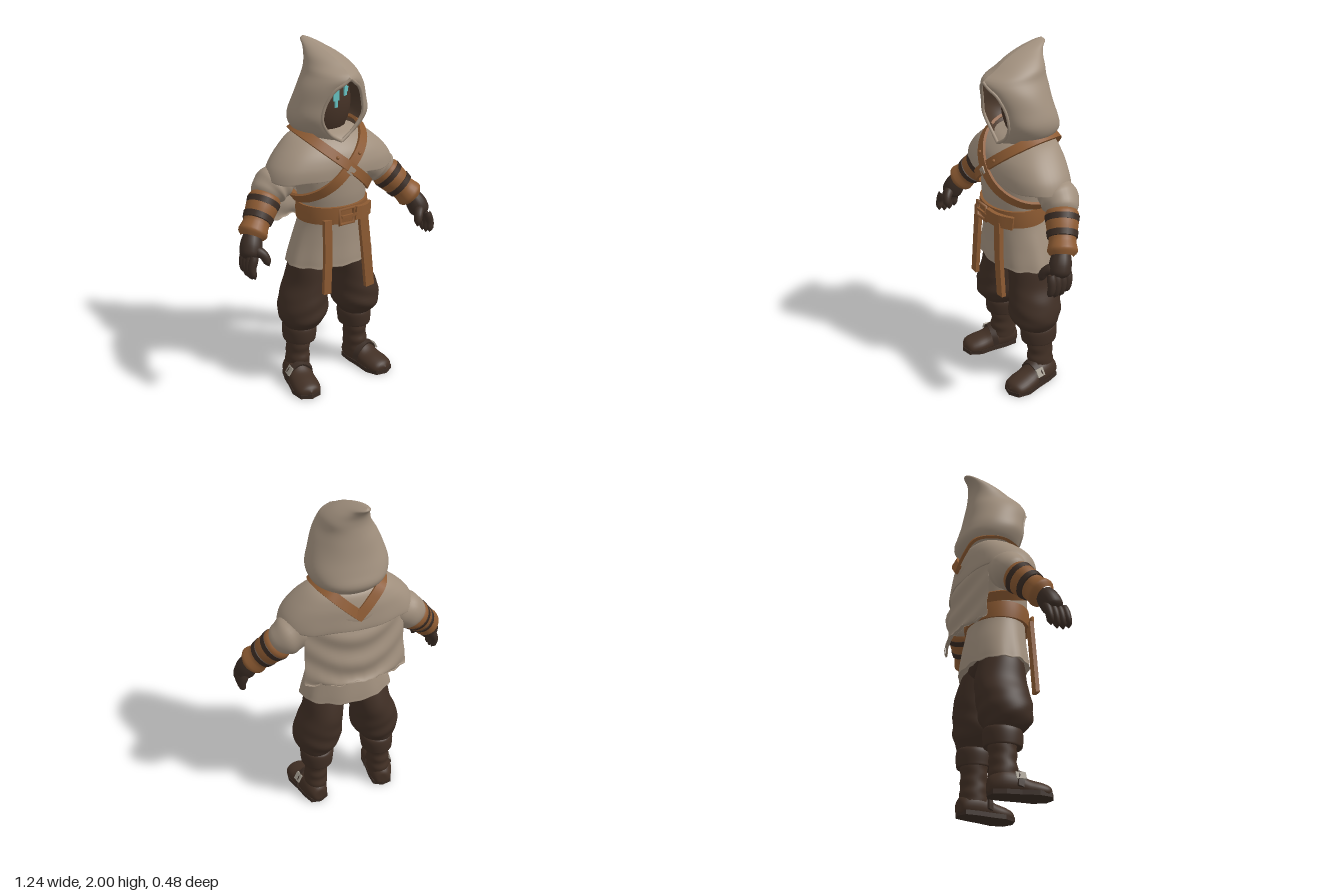
import * as THREE from 'three';
import { toCreasedNormals } from 'three/addons/utils/BufferGeometryUtils.js';

const V = (x, y, z) => new THREE.Vector3(x, y, z);
const mat = (name, color, side = THREE.FrontSide) => {
  const m = new THREE.MeshStandardMaterial({ color, side });
  m.name = name;
  return m;
};

// Smooth interpolation through rows of numbers, v in 0..1
function sampler(rows) {
  const it = new THREE.CubicInterpolant(rows.map((_, i) => i), rows.flat(), rows[0].length);
  return v => it.evaluate(v * (rows.length - 1));
}

// Surface from a rule f(u, v); wrapped in u when closed
function grid(nu, nv, f, wrap = true) {
  const cols = wrap ? nu : nu + 1, pos = [], idx = [];
  for (let j = 0; j <= nv; j++)
    for (let i = 0; i < cols; i++) pos.push(...f(i / nu, j / nv, i, j).toArray());
  for (let j = 0; j < nv; j++)
    for (let i = 0; i < nu; i++) {
      const a = j * cols + i, b = j * cols + (i + 1) % cols;
      idx.push(a, b, b + cols, a, b + cols, a + cols);
    }
  const g = new THREE.BufferGeometry();
  g.setAttribute('position', new THREE.Float32BufferAttribute(pos, 3));
  g.setIndex(idx);
  g.computeVertexNormals();
  return g;
}

// Stacked oval sections: [y, half width, front z, back z, centre x]
function stack(rows, nv, shape, nu = 56) {
  const at = sampler(rows);
  return grid(nu, nv, (u, v) => {
    const [y, rx, zf, zb, cx = 0] = at(v), a = u * Math.PI * 2;
    const p = V(cx + rx * Math.sin(a), y, (zf + zb) / 2 + (zf - zb) / 2 * Math.cos(a));
    if (shape) shape(p, a, v);
    return p;
  });
}

// Round limb of changing radius along a curve
function limb(pts, radii, nv = 16, nu = 18, fold = 0) {
  const curve = new THREE.CatmullRomCurve3(pts.map(p => V(...p)));
  const fr = curve.computeFrenetFrames(nv), at = sampler(radii.map(r => [r]));
  return grid(nu, nv, (u, v, i, j) => {
    const a = u * Math.PI * 2, r = Math.max(0, at(v)[0]) * (1 + fold * Math.sin(v * 22 + Math.sin(a) * 2));
    return curve.getPointAt(v).addScaledVector(fr.normals[j], r * Math.cos(a))
      .addScaledVector(fr.binormals[j], r * Math.sin(a));
  });
}

// Flat leather strap along a curve; normalAt gives its outward side
function strap(pts, width, thick, normalAt, n = 40) {
  const curve = new THREE.CatmullRomCurve3(pts.map(p => V(...p)));
  const corner = [[1, -1], [1, 1], [-1, 1], [-1, -1]];
  const g = grid(4, n, (u, v, i, j) => {
    const t = THREE.MathUtils.clamp((j - 1) / (n - 2), 0, 1), end = j === 0 || j === n ? 0 : 1;
    const p = curve.getPointAt(t), T = curve.getTangentAt(t);
    const B = T.clone().cross(normalAt(p)).normalize(), N = B.clone().cross(T);
    return p.addScaledVector(N, corner[i][0] * thick / 2 * end).addScaledVector(B, corner[i][1] * width / 2 * end);
  });
  return toCreasedNormals(g, 0.7);
}

export function createModel() {
  const root = new THREE.Group();
  root.name = 'hoodedTraveller';
  const cloth = mat('linen', 0xa08f7d), leather = mat('tanLeather', 0x8c5a32);
  const trouser = mat('trouserBrown', 0x402f25), dark = mat('darkLeather', 0x3a2c24);
  const shoe = mat('shoeLeather', 0x423025), lining = mat('hoodShadow', 0x4a382b, THREE.BackSide);
  const face = mat('faceShadow', 0x453226), glow = mat('cyanGlow', 0x66c0c0), metal = mat('paleMetal', 0xa39c90);
  const add = (parent, name, geo, m) => {
    const mesh = new THREE.Mesh(geo, m);
    mesh.name = name;
    parent.add(mesh);
    return mesh;
  };

  // Hood: rows of [y, half width, back z, front z, half opening, x offset]
  const hoodAt = sampler([
    [1.475, 0.12, -0.13, 0.135, 0, 0], [1.515, 0.17, -0.185, 0.13, 0.06, 0], [1.56, 0.203, -0.208, 0.135, 0.1, 0],
    [1.62, 0.212, -0.192, 0.145, 0.128, 0], [1.7, 0.19, -0.17, 0.157, 0.115, 0], [1.78, 0.166, -0.155, 0.187, 0.075, 0],
    [1.84, 0.143, -0.145, 0.22, 0, 0], [1.885, 0.122, -0.14, 0.15, 0, 0], [1.925, 0.094, -0.143, 0.08, 0, -0.013],
    [1.96, 0.06, -0.16, -0.01, 0, -0.03], [1.985, 0.032, -0.188, -0.1, 0, -0.042], [2, 0, -0.175, -0.175, 0, -0.05]]);
  const hoodPoint = (u, v) => {
    const [y, w, zb, zf, o, cx] = hoodAt(v), side = u < 0.5 ? 1 : -1, s = 1 - Math.abs(2 * u - 1), k = 1 - s;
    const ox = y > 1.84 ? 0 : Math.max(0, o);
    const x = ox * k ** 3 + 3.9 * w * (k * k * s + k * s * s);
    const z = zf * k ** 3 + 3 * (zf - Math.min(0.05, (zf - zb) * 0.2)) * k * k * s + 3 * zb * k * s * s + zb * s ** 3;
    const fold = 1 + 0.02 * Math.sin(s * 9 + y * 24) * s;
    return V(cx + side * x * fold, y, z);
  };
  const hoodGeo = grid(64, 44, hoodPoint, false);
  const hood = new THREE.Group();
  hood.name = 'hood';
  root.add(hood);
  add(hood, 'hoodCloth', hoodGeo, cloth);
  add(hood, 'hoodLining', hoodGeo, lining);
  for (const u of [0, 1]) {
    const edge = [];
    for (let i = 0; i <= 12; i++) edge.push(hoodPoint(u, i / 12 * 6 / 11));
    add(hood, 'hoodRim', new THREE.TubeGeometry(new THREE.CatmullRomCurve3(edge), 30, 0.009, 8), cloth);
  }

  // Shadowed face with glowing marks
  const head = add(root, 'face', new THREE.SphereGeometry(1, 28, 20), face);
  head.scale.set(0.15, 0.21, 0.11);
  head.position.set(0, 1.66, -0.03);
  const mark = (x, y, z, w, h) => {
    const m = add(root, 'glowingMark', new THREE.BoxGeometry(w, h, 0.008), glow);
    m.position.set(x, y, z);
    m.rotation.y = x * 6;
  };
  mark(0, 1.715, 0.082, 0.018, 0.13);
  mark(0, 1.725, 0.082, 0.036, 0.075);
  for (const s of [-1, 1]) {
    mark(s * 0.064, 1.735, 0.071, 0.02, 0.06);
    mark(s * 0.079, 1.737, 0.063, 0.02, 0.028);
  }

  // Tunic with flared, softly pleated skirt
  add(root, 'tunic', stack([
    [0.83, 0.12, 0.08, -0.06], [0.77, 0.255, 0.185, -0.155], [0.785, 0.265, 0.195, -0.165], [0.9, 0.232, 0.19, -0.152],
    [1.02, 0.198, 0.19, -0.13], [1.1, 0.195, 0.195, -0.127], [1.2, 0.205, 0.205, -0.14], [1.35, 0.23, 0.195, -0.17],
    [1.44, 0.2, 0.15, -0.165], [1.51, 0.13, 0.07, -0.13]], 50, (p, a) => {
    const h = THREE.MathUtils.clamp((1.0 - p.y) / 0.22, 0, 1), k = 1 + 0.018 * h * Math.sin(9 * a + 1);
    p.x *= k; p.z *= k;
    p.y += h * 0.004 * Math.sin(13 * a);
  }), cloth);

  // Shoulder mantle
  add(root, 'mantle', stack([
    [1.32, 0.3, 0.17, -0.16], [1.285, 0.378, 0.206, -0.196], [1.3, 0.387, 0.212, -0.203], [1.36, 0.362, 0.206, -0.198],
    [1.43, 0.3, 0.178, -0.19], [1.495, 0.215, 0.115, -0.165], [1.525, 0.12, 0.05, -0.11]], 36, (p, a, v) => {
    const e = (1 - v) ** 3;
    p.y += e * (0.04 * Math.max(0, Math.cos(a)) ** 12 + 0.01 * Math.sin(7 * a));
    p.z *= (1 + 0.25 * Math.sin(a) ** 4) * (1 + 0.03 * e * Math.sin(11 * a));
  }), cloth);

  // Half cape hanging down the back, with sagging folds and ragged hem
  add(root, 'backCape', stack([[0.965, 0.285, 0.006, -0.006], [0.97, 0.3, 0.007, -0.007], [1.1, 0.29, 0.007, -0.007],
    [1.25, 0.285, 0.007, -0.007], [1.37, 0.25, 0.005, -0.005]], 36, (p, a, v) => {
    const t = Math.sin(a);
    p.z += -0.187 - 0.045 * (1 - v) + 0.07 * t * t + 0.008 * Math.sin(v * 24 - t * t * 5) * (1 - t * t * 0.6);
    p.y += (1 - v) ** 3 * (0.007 * Math.sin(11 * t) + 0.006 * Math.sin(27 * t));
  }, 80), cloth);

  // Chest harness crossing front and back
  const around = p => V(p.x, (p.y - 1.3) * 1.1, p.z);
  for (const s of [1, -1]) {
    const lift = s > 0 ? 0 : 0.006;
    add(root, 'harnessStrap', strap([[-0.015, 1.37, -0.205 - lift], [0.07, 1.45, -0.192], [0.14, 1.515, -0.155], [0.178, 1.535, -0.07],
      [0.185, 1.53, 0.02], [0.145, 1.485, 0.125], [0.075, 1.42, 0.193], [0, 1.355, 0.217 + lift], [-0.08, 1.285, 0.22],
      [-0.15, 1.222, 0.175], [-0.205, 1.175, 0.09], [-0.213, 1.15, -0.03], [-0.15, 1.14, -0.125]].map(([x, y, z]) => [s * x, y, z]),
    0.054, 0.016, around, 64), leather);
    const stud = add(root, 'harnessStud', new THREE.SphereGeometry(0.01, 10, 8), leather);
    stud.position.set(s * 0.07, 1.415, 0.206);
  }
  const patch = add(root, 'harnessDiamond', new THREE.BoxGeometry(0.042, 0.042, 0.008), cloth);
  patch.position.set(0, 1.335, 0.233);
  patch.rotation.z = Math.PI / 4;

  // Belt, buckle and hanging tails
  add(root, 'belt', toCreasedNormals(stack([[1.03, 0.19, 0.19, -0.12], [1.03, 0.208, 0.214, -0.143],
    [1.08, 0.211, 0.218, -0.145], [1.128, 0.206, 0.215, -0.142], [1.128, 0.19, 0.19, -0.12]], 4), 0.7), leather);
  const buckle = add(root, 'buckle', new THREE.TorusGeometry(0.055, 0.01, 8, 4).rotateZ(Math.PI / 4), leather);
  buckle.position.set(-0.025, 1.08, 0.228);
  buckle.scale.set(1.15, 1.1, 1);
  const tongue = add(root, 'buckleTongue', new THREE.BoxGeometry(0.1, 0.014, 0.012), leather);
  tongue.position.set(-0.01, 1.08, 0.233);
  add(root, 'beltEnd', strap([[0.03, 1.085, 0.226], [0.1, 1.075, 0.209], [0.175, 1.065, 0.15]], 0.075, 0.024, p => V(p.x, 0, p.z), 14), leather);
  const forward = () => V(0, 0, 1);
  add(root, 'beltTail', strap([[-0.125, 1.06, 0.187], [-0.13, 0.85, 0.2], [-0.143, 0.63, 0.208]], 0.047, 0.024, forward, 14), leather);
  add(root, 'beltTail', strap([[0.1, 1.06, 0.198], [0.118, 0.85, 0.208], [0.142, 0.61, 0.21]], 0.055, 0.026, forward, 14), leather);

  // Hips
  const hips = add(root, 'hips', new THREE.SphereGeometry(1, 28, 16), trouser);
  hips.scale.set(0.205, 0.11, 0.125);
  hips.position.set(0, 0.815, 0.005);

  for (const s of [1, -1]) {
    const half = new THREE.Group();
    half.name = s > 0 ? 'leftLimbs' : 'rightLimbs';
    half.scale.x = s;
    root.add(half);

    // Sleeve
    add(half, 'sleeve', limb([[0.2, 1.325, -0.02], [0.29, 1.27, -0.035], [0.36, 1.22, -0.03], [0.42, 1.16, 0]],
      [0.07, 0.09, 0.1, 0.104, 0.09, 0.03], 26, 28, 0.03), cloth);

    // Bracer with two dark bands
    const A = V(0.38, 1.2, -0.025), E = V(0.54, 1.015, 0.08);
    const on = t => A.clone().lerp(E, t).toArray();
    add(half, 'bracer', limb([on(0), on(1)], [0.07, 0.088, 0.09, 0.088, 0.085, 0.08, 0.075, 0.073, 0.078, 0.08, 0.055], 30, 26), leather);
    for (const [t, r] of [[0.15, 0.094], [0.47, 0.086]])
      add(half, 'bracerBand', toCreasedNormals(limb([on(t), on(t + 0.17)], [r - 0.02, r, r - 0.001, r - 0.002, r - 0.003, r - 0.004, r - 0.005, r - 0.025], 7, 26), 0.6), dark);

    // Gloved hand
    add(half, 'palm', limb([[0.53, 1.03, 0.08], [0.555, 0.97, 0.105], [0.575, 0.9, 0.125]], [0.05, 0.058, 0.06, 0.052, 0], 14), dark);
    for (let i = 0; i < 4; i++) {
      const z = 0.07 + i * 0.034, d = Math.abs(i - 1.5) * 0.014;
      add(half, 'finger', limb([[0.57, 0.95, z], [0.592, 0.88, z + 0.01], [0.58, 0.805 + d, z + 0.022]],
        [0.02, 0.024, 0.024, 0.022, 0.021, 0.018, 0], 14, 12), dark);
    }
    add(half, 'thumb', limb([[0.55, 0.97, 0.13], [0.515, 0.945, 0.17], [0.492, 0.88, 0.19]], [0.022, 0.029, 0.026, 0.024, 0.02, 0], 14, 12), dark);

    // Baggy trouser leg, cuff and shin wrap
    add(half, 'trouserLeg', stack([[0.35, 0.08, 0.07, -0.09, 0.19], [0.385, 0.105, 0.125, -0.12, 0.19], [0.45, 0.142, 0.157, -0.14, 0.181],
      [0.55, 0.136, 0.155, -0.15, 0.17], [0.65, 0.117, 0.145, -0.152, 0.147], [0.78, 0.115, 0.135, -0.115, 0.125], [0.9, 0.08, 0.1, -0.07, 0.1]],
    36, (p, a) => { p.z += 0.005 * Math.sin(p.y * 60 + a * 3) * Math.exp(-(((p.y - 0.45) / 0.12) ** 2)); }), trouser);
    add(half, 'trouserCuff', stack([[0.285, 0.06, 0.05, -0.08, 0.192], [0.268, 0.088, 0.085, -0.112, 0.192], [0.29, 0.094, 0.095, -0.12, 0.192],
      [0.345, 0.097, 0.097, -0.122, 0.19], [0.372, 0.086, 0.085, -0.112, 0.19], [0.37, 0.06, 0.06, -0.08, 0.19]], 24), trouser);
    add(half, 'shinWrap', stack([[0.08, 0.066, 0.06, -0.095, 0.203], [0.14, 0.069, 0.062, -0.094, 0.203], [0.2, 0.066, 0.058, -0.092, 0.2],
      [0.3, 0.07, 0.062, -0.095, 0.195]], 30, p => { p.z += 0.003 * Math.sin(p.y * 90); }, 32), shoe);

    // Shoe, turned slightly outward
    const foot = new THREE.Group();
    foot.name = 'shoe';
    foot.position.x = 0.22;
    foot.rotation.y = 0.17;
    half.add(foot);
    add(foot, 'shoeUpper', stack([[-0.108, 0, -0.04, -0.06], [-0.1, 0.045, 0, -0.1], [-0.04, 0.07, 0.02, -0.145], [0.04, 0.073, 0.02, -0.135],
      [0.1, 0.077, 0.02, -0.1], [0.165, 0.078, 0.02, -0.085], [0.215, 0.06, 0.01, -0.068], [0.238, 0, -0.03, -0.04]], 32,
    p => { p.z = Math.min(p.z, -0.012); }, 32).rotateX(Math.PI / 2), shoe);
    const outline = new THREE.Shape([[0, -0.11], [0.055, -0.09], [0.068, -0.02], [0.072, 0.06], [0.083, 0.15], [0.06, 0.22], [0, 0.243],
      [-0.06, 0.22], [-0.083, 0.15], [-0.072, 0.06], [-0.068, -0.02], [-0.055, -0.09]].map(p => new THREE.Vector2(...p)));
    add(foot, 'sole', new THREE.ExtrudeGeometry(outline, { depth: 0.026, bevelEnabled: false })
      .rotateX(Math.PI / 2).translate(0, 0.026, 0), dark);
    add(foot, 'shoeStrap', strap([[-0.078, 0.04, 0.05], [-0.062, 0.1, 0.058], [0, 0.138, 0.062], [0.062, 0.1, 0.058], [0.078, 0.04, 0.05]],
      0.034, 0.012, p => V(p.x, p.y - 0.03, 0.03), 20), dark);
    const clasp = add(foot, 'shoeBuckle', new THREE.BoxGeometry(0.009, 0.05, 0.052), metal);
    clasp.position.set(0.066, 0.1, 0.055);
    clasp.rotation.z = 0.55;
  }
  return root;
}
